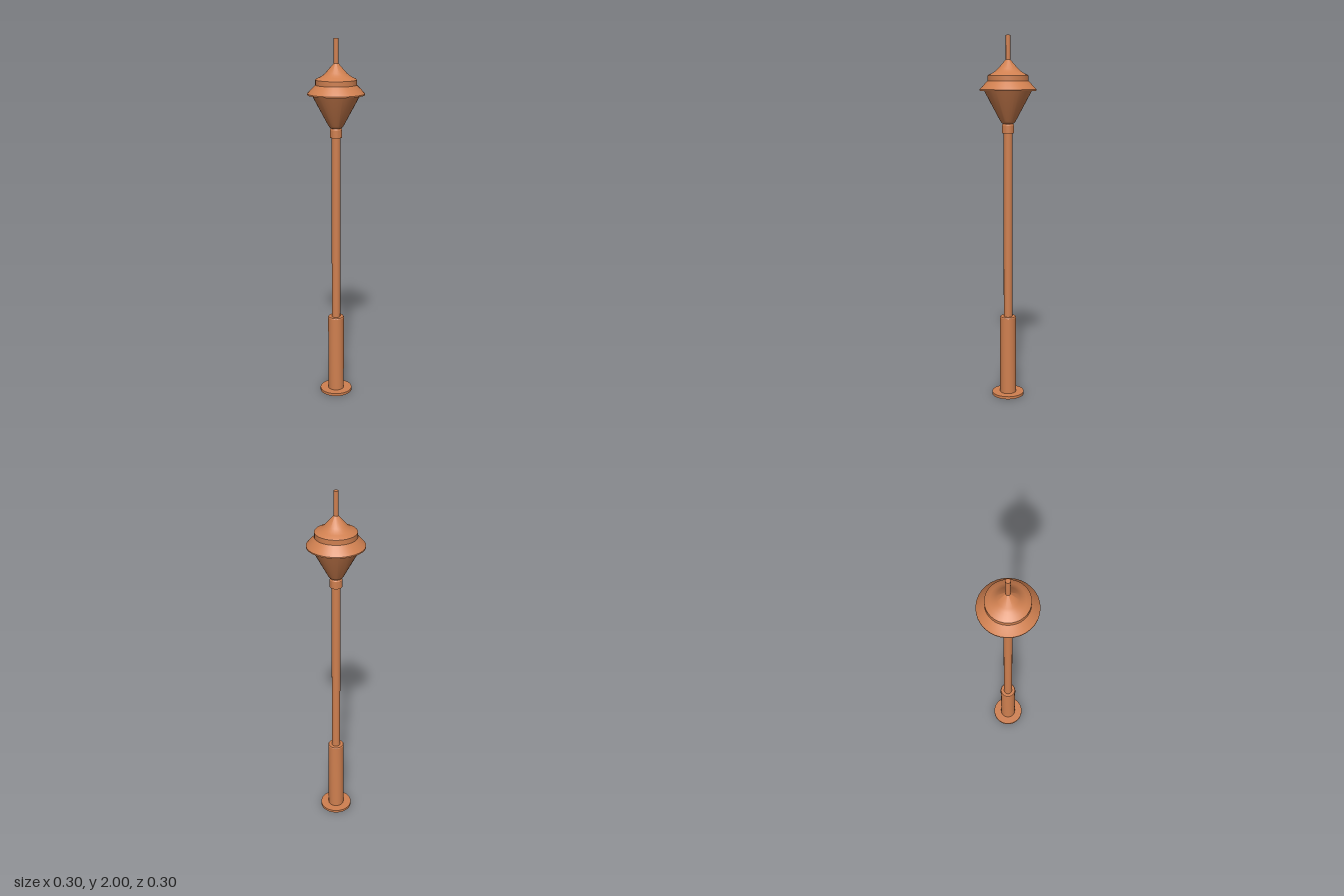
import * as THREE from 'three';
import { toCreasedNormals } from 'three/addons/utils/BufferGeometryUtils.js';

export function createModel() {
  const group = new THREE.Group();
  const material = new THREE.MeshStandardMaterial({ color: 0xd08050 });

  // Turned part from [radius, height] pairs, listed bottom to top
  function turned(name, profile, segments = 32) {
    const points = profile.map(([r, y]) => new THREE.Vector2(r, y));
    const geometry = toCreasedNormals(new THREE.LatheGeometry(points, segments), 0.5);
    const mesh = new THREE.Mesh(geometry, material);
    mesh.name = name;
    group.add(mesh);
  }

  // Closed cylinder between two heights
  function rod(name, radius, y0, y1, segments = 32) {
    const mesh = new THREE.Mesh(new THREE.CylinderGeometry(radius, radius, y1 - y0, segments), material);
    mesh.position.y = (y0 + y1) / 2;
    mesh.name = name;
    group.add(mesh);
  }

  // Post
  rod('basePlate', 0.09, 0, 0.015);
  turned('lowerSleeve', [[0, 0.01], [0.045, 0.01], [0.045, 0.453], [0.042, 0.458], [0, 0.458]], 24);
  rod('pole', 0.024, 0.45, 1.5, 20);
  turned('collar', [[0, 1.483], [0.033, 1.483], [0.033, 1.525], [0.029, 1.532], [0, 1.532]], 24);

  // Tapered lamp bowl with a rounded foot
  turned('lampBowl', [
    [0, 1.53], [0.025, 1.532], [0.034, 1.537], [0.042, 1.548], [0.13, 1.712], [0, 1.712],
  ]);

  // Sloping brim with a thin rim
  turned('brim', [
    [0, 1.709], [0.152, 1.709], [0.152, 1.716], [0.138, 1.732], [0.108, 1.762], [0, 1.762],
  ]);

  // Stepped crown sweeping up to the finial
  turned('crown', [
    [0, 1.761], [0.11, 1.761], [0.11, 1.788], [0.104, 1.793], [0.085, 1.801],
    [0.068, 1.812], [0.055, 1.824], [0.012, 1.873], [0, 1.875],
  ]);

  rod('finial', 0.0125, 1.86, 2, 12);
  return group;
}
